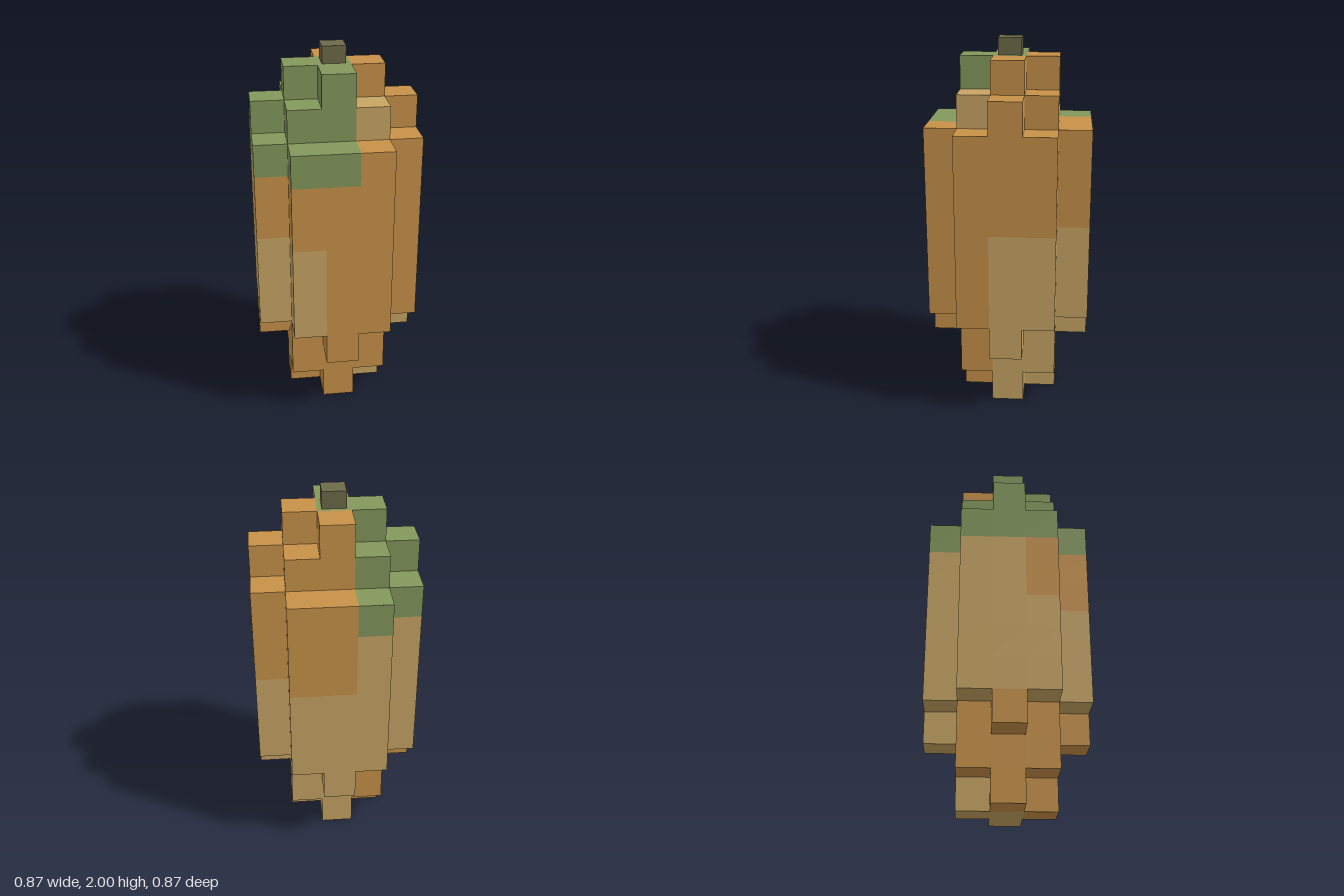
import * as THREE from 'three';
import { mergeGeometries } from 'three/addons/utils/BufferGeometryUtils.js';

const U = 0.1736; // block size
const LAYERS = 11;

const materials = {
  orange: new THREE.MeshStandardMaterial({ name: 'orange rind', color: 0xc89248 }),
  tan: new THREE.MeshStandardMaterial({ name: 'tan rind', color: 0xc8a664 }),
  green: new THREE.MeshStandardMaterial({ name: 'green rind', color: 0x84985c }),
  stem: new THREE.MeshStandardMaterial({ name: 'stem brown', color: 0x6e6a4a }),
};

// Which blocks are filled, layer by layer, from bottom (0) to top (10)
function filled(x, y, z) {
  const ax = Math.abs(x), az = Math.abs(z);
  if (y < 0 || y >= LAYERS || ax > 2 || az > 2) return false;
  const square = ax <= 1 && az <= 1;
  if (y === 0 || y === 10) return ax + az <= 1; // small plus
  if (y === 1) return square;
  if (y === 2) return square || ax + az === 2; // square with four tips
  if (y === 9) return square || (ax === 2 && az === 0); // square with side tips
  return ax + az < 4; // wide body without corners
}

// Colour patches of the rind
function patch(x, y, z) {
  if (y === 9 && x === 1 && z === 1) return 'tan';
  if (y >= 8) return x < 0 || (x === 0 && z >= 0) ? 'green' : 'orange';
  if (y >= 6) return x < 0 && z <= 0 ? 'tan' : 'orange';
  if (y >= 3) return x < 0 || z <= 0 ? 'tan' : 'orange';
  return x >= 0 && z <= 0 ? 'tan' : 'orange';
}

const directions = [[1, 0, 0], [-1, 0, 0], [0, 1, 0], [0, -1, 0], [0, 0, 1], [0, 0, -1]]
  .map((d) => new THREE.Vector3(...d));

export function createModel() {
  const group = new THREE.Group();
  group.name = 'blockyGourd';

  // Collect the exposed block faces of each colour
  const faces = { orange: [], tan: [], green: [] };
  for (let y = 0; y < LAYERS; y++)
    for (let x = -2; x <= 2; x++)
      for (let z = -2; z <= 2; z++) {
        if (!filled(x, y, z)) continue;
        for (const d of directions) {
          if (filled(x + d.x, y + d.y, z + d.z)) continue;
          const face = new THREE.PlaneGeometry(U, U);
          face.lookAt(d);
          face.translate((x + d.x / 2) * U, (y + 0.5 + d.y / 2) * U, (z + d.z / 2) * U);
          faces[patch(x, y, z)].push(face);
        }
      }
  for (const [colour, list] of Object.entries(faces)) {
    const rind = new THREE.Mesh(mergeGeometries(list), materials[colour]);
    rind.name = colour + 'Rind';
    group.add(rind);
  }

  // Short stem on the crown
  const top = LAYERS * U;
  const stem = new THREE.Mesh(new THREE.BoxGeometry(0.124, 2 - top, 0.124), materials.stem);
  stem.name = 'stem';
  stem.position.y = (2 + top) / 2;
  group.add(stem);
  return group;
}
